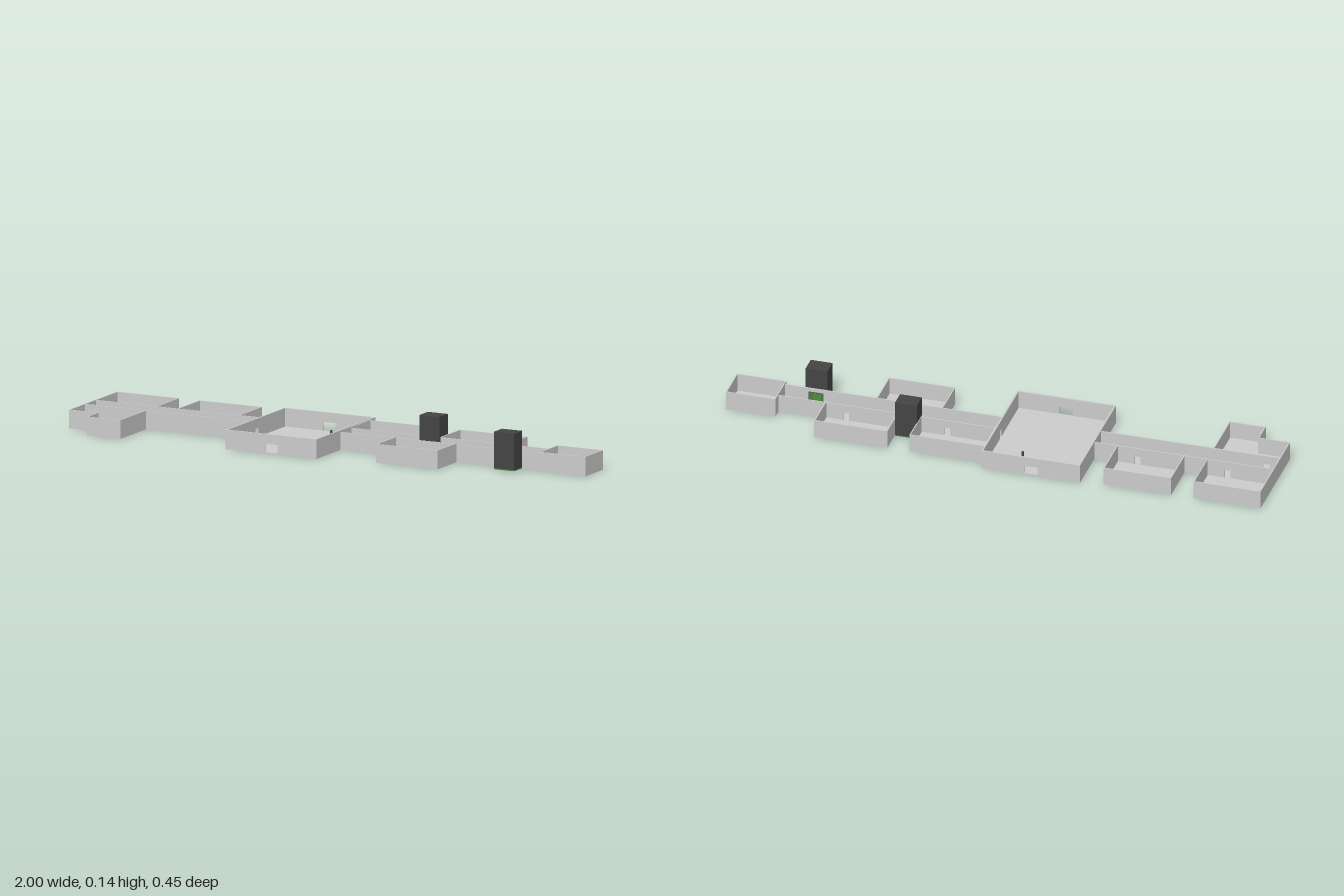
import * as THREE from 'three';

const T = 0.004; // wall and floor thickness
const H = 0.067; // room wall height
const HALL_H = 0.07;
const BACK = -0.05, FRONT = 0.03; // corridor sides

const grey = new THREE.MeshStandardMaterial({ color: 0xcccccc });
const dark = new THREE.MeshStandardMaterial({ color: 0x444444 });
const green = new THREE.MeshStandardMaterial({ color: 0x4a7a3a });

export function createModel() {
  const model = new THREE.Group();

  const box = (parent, name, mat, x0, x1, y0, y1, z0, z1) => {
    const m = new THREE.Mesh(new THREE.BoxGeometry(x1 - x0, y1 - y0, z1 - z0), mat);
    m.position.set((x0 + x1) / 2, (y0 + y1) / 2, (z0 + z1) / 2);
    m.name = name;
    parent.add(m);
  };

  // Wall from (x0,z0) to (x1,z1); doors are [distance along wall, width, height]
  const wall = (parent, x0, z0, x1, z1, h = H, doors = [], t = T) => {
    const len = Math.hypot(x1 - x0, z1 - z0);
    const s = new THREE.Shape();
    s.moveTo(-t / 2, 0);
    for (const [d, w, dh] of doors) {
      s.lineTo(d - w / 2, 0);
      s.lineTo(d - w / 2, dh);
      s.lineTo(d + w / 2, dh);
      s.lineTo(d + w / 2, 0);
    }
    s.lineTo(len + t / 2, 0);
    s.lineTo(len + t / 2, h);
    s.lineTo(-t / 2, h);
    const g = new THREE.ExtrudeGeometry(s, { depth: t, bevelEnabled: false });
    g.translate(0, 0, -t / 2);
    const m = new THREE.Mesh(g, grey);
    m.rotation.y = -Math.atan2(z1 - z0, x1 - x0);
    m.position.set(x0, 0, z0);
    m.name = 'wall';
    parent.add(m);
  };

  const section = (name) => {
    const g = new THREE.Group();
    g.name = name;
    model.add(g);
    return g;
  };
  const floor = (g, x0, x1, z0, z1) => box(g, 'floor', grey, x0, x1, 0, T, z0, z1);

  // Side rooms: three walls each, the fourth belongs to the corridor
  const rooms = [
    ['backRoomFarRight', -0.998, -0.755, -0.213, BACK],
    ['backRoomRight', -0.67, -0.425, -0.213, BACK],
    ['backRoomLeft', 0.022, 0.295, -0.187, BACK],
    ['backRoomFarLeft', 0.38, 0.645, -0.187, BACK],
    ['frontRoomLeft', 0.24, 0.48, 0.173, FRONT],
  ];
  for (const [name, x0, x1, far, near] of rooms) {
    const g = section(name);
    floor(g, x0, x1, Math.min(far, near), Math.max(far, near));
    wall(g, x0, far, x1, far);
    for (const x of [x0, x1]) wall(g, x, Math.min(far, near), x, Math.max(far, near));
  }

  // L-shaped room at the far right
  const ell = section('cornerRoom');
  floor(ell, -0.998, -0.755, FRONT, 0.145);
  floor(ell, -0.885, -0.755, 0.145, 0.223);
  const path = [[-0.998, FRONT], [-0.998, 0.145], [-0.885, 0.145], [-0.885, 0.223], [-0.755, 0.223], [-0.755, FRONT]];
  for (let i = 1; i < path.length; i++) wall(ell, ...path[i - 1], ...path[i]);

  // Corridors either side of the hall, with doors at the given x positions
  const corridor = (name, x0, x1, h, backDoors, frontDoors) => {
    const g = section(name);
    floor(g, x0, x1, BACK, FRONT);
    const cut = (list) => list.map(([x, w = 0.022, dh = 0.035]) => [x - x0, w, dh]);
    wall(g, x0, BACK, x1, BACK, h, cut(backDoors));
    wall(g, x0, FRONT, x1, FRONT, h, cut(frontDoors));
    return g;
  };
  const right = corridor('rightCorridor', -0.998, -0.34, H, [[-0.83], [-0.5]], [[-0.95]]);
  wall(right, -0.998, BACK, -0.998, FRONT);
  corridor('leftCorridor', 0.02, 0.82, 0.064,
    [[0.2], [0.335, 0.056, 0.05], [0.57]], [[0.4], [0.705, 0.056, 0.05]]);

  // Central hall with outer doors front and back
  const hall = section('hall');
  floor(hall, -0.34, 0.02, -0.225, 0.21);
  for (const z of [-0.225, 0.21]) wall(hall, -0.338, z, 0.018, z, HALL_H, [[0.178, 0.05, 0.035]], 0.006);
  for (const x of [-0.338, 0.018]) wall(hall, x, -0.225, x, 0.21, HALL_H, [[0.215, 0.022, 0.035]], 0.006);
  const post = new THREE.Mesh(new THREE.CylinderGeometry(0.004, 0.005, 0.026, 10), dark);
  post.position.set(-0.1, T + 0.013, -0.125);
  post.name = 'post';
  hall.add(post);

  // End room
  const end = section('endRoom');
  floor(end, 0.82, 0.998, -0.09, 0.04);
  for (const z of [-0.09, 0.04]) wall(end, 0.82, z, 0.998, z, HALL_H);
  wall(end, 0.998, -0.09, 0.998, 0.04, HALL_H);
  wall(end, 0.82, -0.09, 0.82, 0.04, HALL_H, [[0.08, 0.022, 0.035]]);

  // Lift shafts: hollow towers open towards the corridor, dir points to the outside
  const lift = (name, cx, zIn, dir) => {
    const g = new THREE.Group();
    g.name = name;
    const w = 0.04, d = 0.062, top = 0.138;
    box(g, 'liftFloor', green, -w, w, 0.004, 0.008, 0, d);
    box(g, 'roof', dark, -w, w, top - T, top, 0, d);
    box(g, 'backPanel', dark, -w, w, 0.008, top - T, d - T, d);
    box(g, 'header', dark, -w, w, 0.05, top - T, 0, T);
    for (const s of [-1, 1]) {
      const a = s * w, b = s * (w - T), c = s * 0.016;
      box(g, 'sidePanel', dark, Math.min(a, b), Math.max(a, b), 0.008, top - T, T, d - T);
      box(g, 'jamb', dark, Math.min(a, s * 0.028), Math.max(a, s * 0.028), 0.008, 0.05, 0, T);
      box(g, 'doorLeaf', green, Math.min(s * 0.028, c), Math.max(s * 0.028, c), 0.008, 0.05, 0.001, 0.003);
    }
    g.position.set(cx, 0, zIn);
    if (dir < 0) g.rotation.y = Math.PI;
    model.add(g);
  };
  lift('backLift', 0.335, -0.043, -1);
  lift('frontLift', 0.705, 0.035, 1);

  return model;
}
